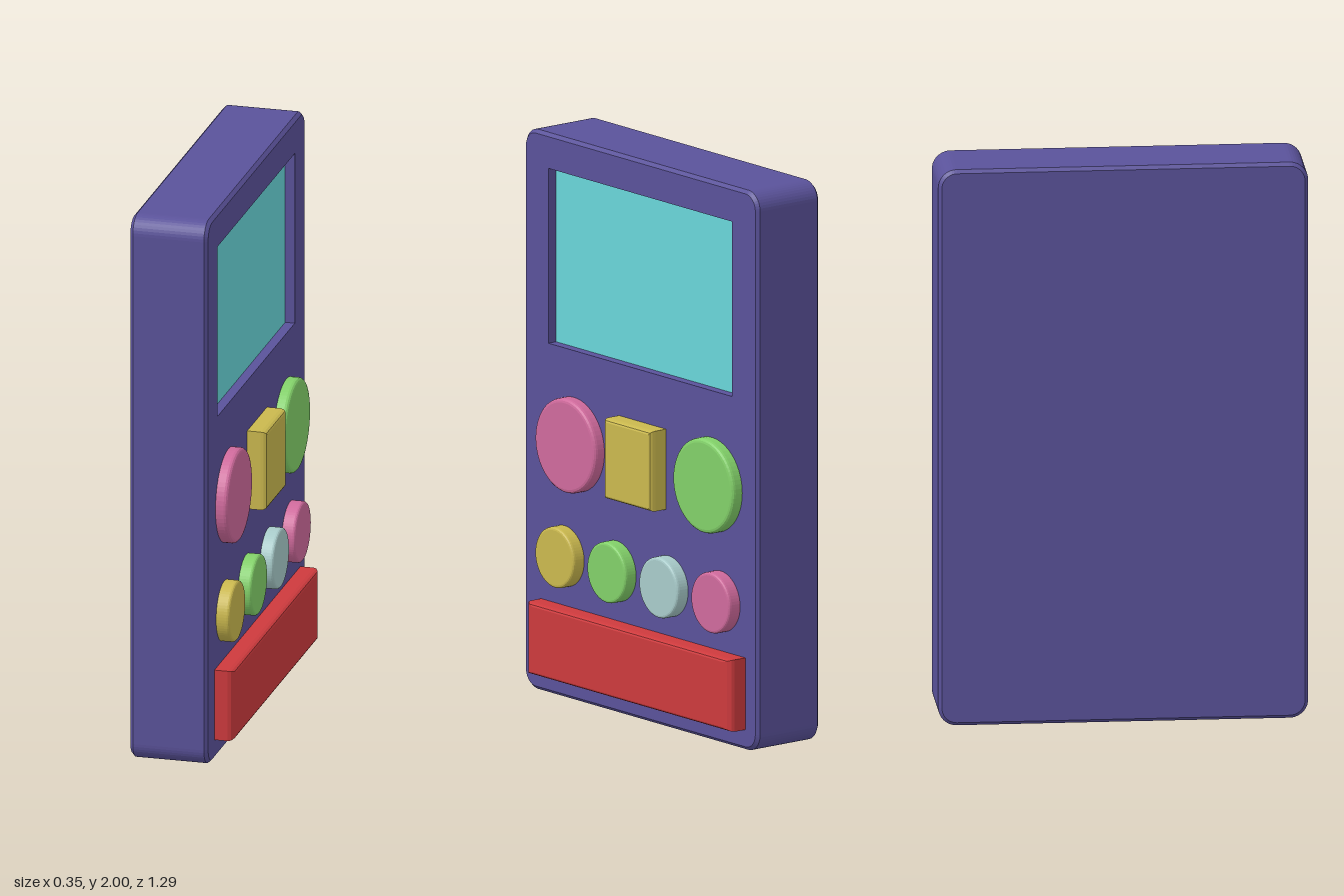
import * as THREE from 'three';

const FRONT = 0.105, BACK = -0.175;
const mat = (color) => new THREE.MeshStandardMaterial({ color, flatShading: true });

function add(parent, name, geometry, material) {
  const mesh = new THREE.Mesh(geometry, material);
  mesh.name = name;
  parent.add(mesh);
  return mesh;
}

// Rounded rectangle from its edges, with r as corner radius
function roundRect(x0, x1, y0, y1, r) {
  const s = new THREE.Shape();
  s.absarc(x1 - r, y0 + r, r, -Math.PI / 2, 0);
  s.absarc(x1 - r, y1 - r, r, 0, Math.PI / 2);
  s.absarc(x0 + r, y1 - r, r, Math.PI / 2, Math.PI);
  s.absarc(x0 + r, y0 + r, r, Math.PI, Math.PI * 1.5);
  s.closePath();
  return s;
}

function rect(x0, x1, y0, y1, Type = THREE.Shape) {
  return new Type([[x0, y0], [x1, y0], [x1, y1], [x0, y1]].map((p) => new THREE.Vector2(...p)));
}

// Skin between matching closed loops; each loop is { points, z }
function loft(loops) {
  const pos = [];
  const n = loops[0].points.length;
  for (let k = 0; k + 1 < loops.length; k++) {
    const [a, b] = [loops[k], loops[k + 1]];
    for (let i = 0; i < n; i++) {
      const j = (i + 1) % n;
      const corner = (l, m) => [l.points[m].x, l.points[m].y, l.z];
      const [p, q, r, s] = [corner(a, i), corner(a, j), corner(b, j), corner(b, i)];
      pos.push(...p, ...q, ...r, ...p, ...r, ...s);
    }
  }
  const g = new THREE.BufferGeometry();
  g.setAttribute('position', new THREE.Float32BufferAttribute(pos, 3));
  g.computeVertexNormals();
  return g;
}

// Raised button with a softened rim; the base is sunk into the case
function button(shape, top, bevel, rim = bevel) {
  const base = FRONT - 0.06;
  const g = new THREE.ExtrudeGeometry(shape, {
    depth: top - base - rim, bevelEnabled: true, bevelSize: bevel, bevelOffset: -bevel,
    bevelThickness: rim, bevelSegments: 3, curveSegments: 32,
  });
  return g.translate(0, 0, base);
}

function disc(x, y, r) {
  const s = new THREE.Shape();
  s.absarc(x, y, r, 0, Math.PI * 2);
  return s;
}

export function createModel() {
  const model = new THREE.Group();
  model.name = 'handheldDevice';
  // Built facing +z, then turned so the control face looks along +x
  const device = new THREE.Group();
  device.name = 'device';
  device.rotation.y = Math.PI / 2;
  model.add(device);

  // Case: chamfered shell, back panel, front panel with screen opening
  const caseMat = mat(0x5a529a);
  const c = 0.012;
  const outline = (inset) => roundRect(-0.645 + inset, 0.645 - inset, inset, 2 - inset, 0.065 - inset);
  const ring = (inset, z) => ({ points: outline(inset).getPoints(5).slice(0, -1), z });
  const body = new THREE.Group();
  body.name = 'case';
  device.add(body);
  add(body, 'shell', loft([ring(c, BACK), ring(0, BACK + c), ring(0, FRONT - c), ring(c, FRONT)]), caseMat);
  add(body, 'backPanel', new THREE.ShapeGeometry(outline(c), 5).rotateY(Math.PI).translate(0, 0, BACK), caseMat);
  const screen = [-0.51, 0.505, 1.25, 1.875];
  const face = outline(c);
  face.holes.push(rect(...screen, THREE.Path));
  add(body, 'frontPanel', new THREE.ShapeGeometry(face, 5).translate(0, 0, FRONT), caseMat);

  // Recessed screen and the walls around it
  const depth = 0.035;
  const edge = rect(...screen).getPoints().slice(0, 4);
  add(body, 'screenRecess', loft([{ points: edge, z: FRONT }, { points: edge, z: FRONT - depth }]), caseMat);
  add(device, 'screen', new THREE.ShapeGeometry(rect(...screen)).translate(0, 0, FRONT - depth), mat(0x69d6d9));

  const pink = mat(0xcf6a9c), green = mat(0x82d069), yellow = mat(0xcab84e);
  const pale = mat(0xa8cbca), red = mat(0xcd3a3d);

  // Two large round buttons
  add(device, 'largeButtonLeft', button(disc(-0.368, 0.915, 0.168), 0.148, 0.014), pink);
  add(device, 'largeButtonRight', button(disc(0.393, 0.915, 0.168), 0.148, 0.014), green);

  // Square button between them
  add(device, 'squareButton', button(rect(-0.12, 0.14, 0.778, 1.065), 0.175, 0.012, 0.022), yellow);

  // Row of small round buttons
  [yellow, green, pale, pink].forEach((m, i) => {
    add(device, `smallButton${i + 1}`, button(disc(-0.42 + i * 0.287, 0.507, 0.108), 0.153, 0.01), m);
  });

  // Long bar; drawn narrow and stretched so its ends slope more than its long edges
  const stretch = 3;
  const bar = button(rect(-0.55 / stretch, 0.578 / stretch, 0.073, 0.33), 0.175, 0.012, 0.022);
  add(device, 'longBar', bar.scale(stretch, 1, 1), red);

  return model;
}
